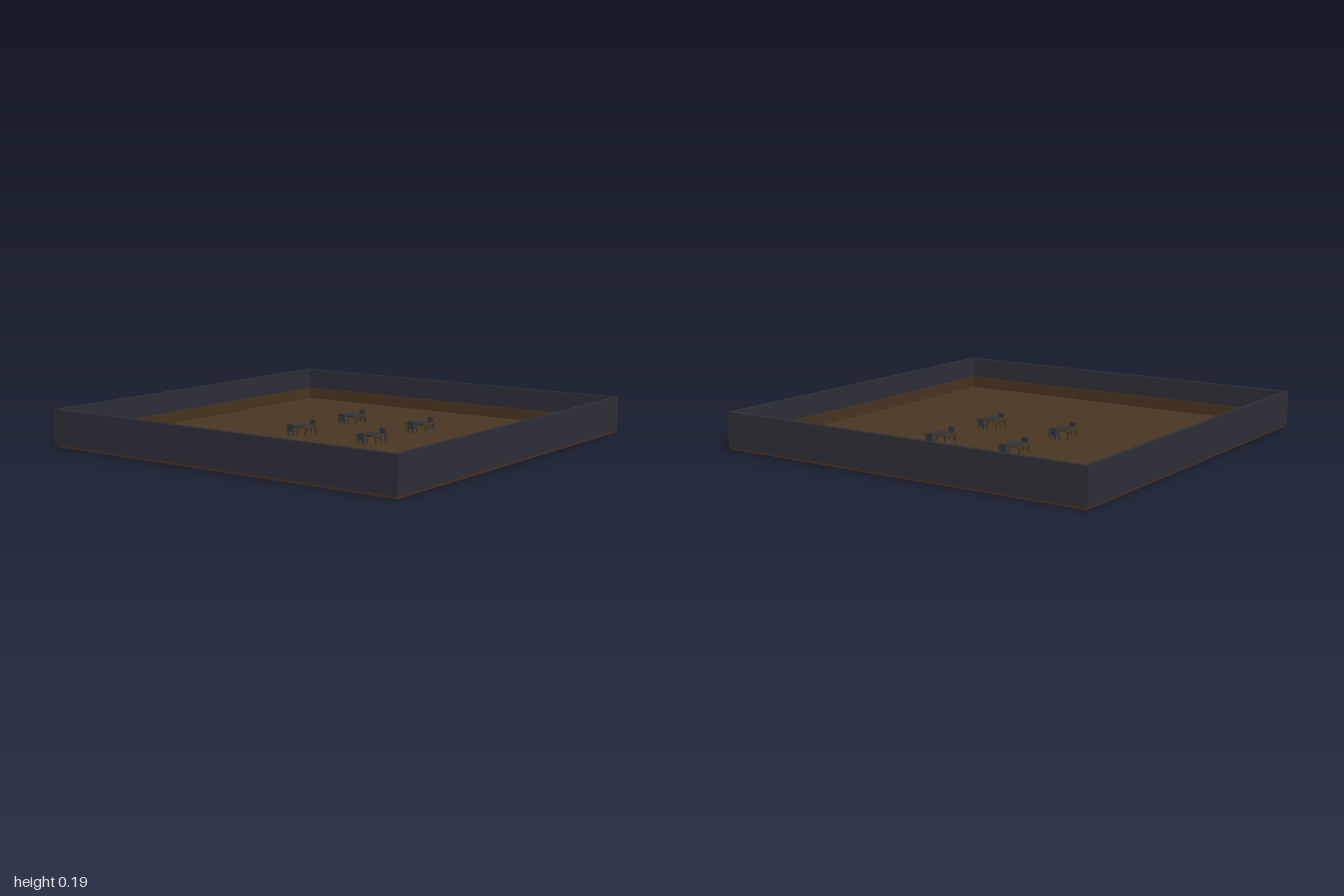
import * as THREE from 'three';

const mat = (name, color) => {
  const m = new THREE.MeshStandardMaterial({ color });
  m.name = name;
  return m;
};

export function createModel() {
  const room = new THREE.Group();
  room.name = 'diningRoom';
  const wallPaint = mat('charcoal wall', 0x2d2d37);
  const floorWood = mat('brown floor', 0x483622);
  const baseWood = mat('dark red brown base', 0x4a2e1f);
  const panelWood = mat('panel wood', 0x48331f);
  const tableWood = mat('table wood', 0x463420);
  const slate = mat('slate', 0x2f323a);

  // Box placed by its centre in x and z and by its underside in y
  const box = (parent, name, m, w, h, d, x, y, z) => {
    const mesh = new THREE.Mesh(new THREE.BoxGeometry(w, h, d), m);
    mesh.name = name;
    mesh.position.set(x, y + h / 2, z);
    parent.add(mesh);
    return mesh;
  };

  // Floor slab
  box(room, 'floorBase', baseWood, 1.985, 0.012, 1.985, 0, 0, 0);
  box(room, 'floorBoards', floorWood, 1.97, 0.004, 1.97, 0, 0.011, 0);

  // Four walls, each with wainscot, top rail and battens inside
  for (let i = 0; i < 4; i++) {
    const side = new THREE.Group();
    side.name = 'wallSide';
    side.rotation.y = i * Math.PI / 2;
    room.add(side);
    box(side, 'wall', wallPaint, i % 2 ? 1.96 : 2, 0.173, 0.02, 0, 0.012, -0.99);
    box(side, 'wainscot', panelWood, 1.96, 0.058, 0.006, 0, 0.014, -0.977);
    box(side, 'wainscotRail', panelWood, 1.96, 0.006, 0.009, 0, 0.069, -0.9755);
    for (const x of [-0.84, -0.28, 0.28, 0.84])
      box(side, 'wainscotBatten', panelWood, 0.008, 0.056, 0.009, x, 0.014, -0.9755);
  }

  // Chair with its back towards +z
  const addChair = (parent, z, turn) => {
    const chair = new THREE.Group();
    chair.name = 'chair';
    chair.position.z = z;
    chair.rotation.y = turn;
    parent.add(chair);
    box(chair, 'seat', slate, 0.032, 0.005, 0.036, 0, 0.024, 0);
    box(chair, 'chairBack', slate, 0.032, 0.032, 0.005, 0, 0.029, 0.0155);
    for (const x of [-0.013, 0.013])
      for (const lz of [-0.015, 0.015])
        box(chair, 'chairLeg', slate, 0.004, 0.024, 0.004, x, 0, lz);
  };

  // Four table sets
  for (const x of [-0.215, 0.215]) {
    for (const z of [-0.36, 0.07]) {
      const set = new THREE.Group();
      set.name = 'tableSet';
      set.position.set(x, 0.015, z);
      room.add(set);
      box(set, 'tableTop', tableWood, 0.126, 0.006, 0.1, 0, 0.039, 0);
      box(set, 'tableMat', slate, 0.068, 0.003, 0.082, 0, 0.045, 0.009);
      for (const lx of [-0.056, 0.056])
        for (const lz of [-0.043, 0.043])
          box(set, 'tableLeg', tableWood, 0.006, 0.039, 0.006, lx, 0, lz);
      addChair(set, 0.072, 0);
      addChair(set, -0.075, Math.PI);
    }
  }
  return room;
}
